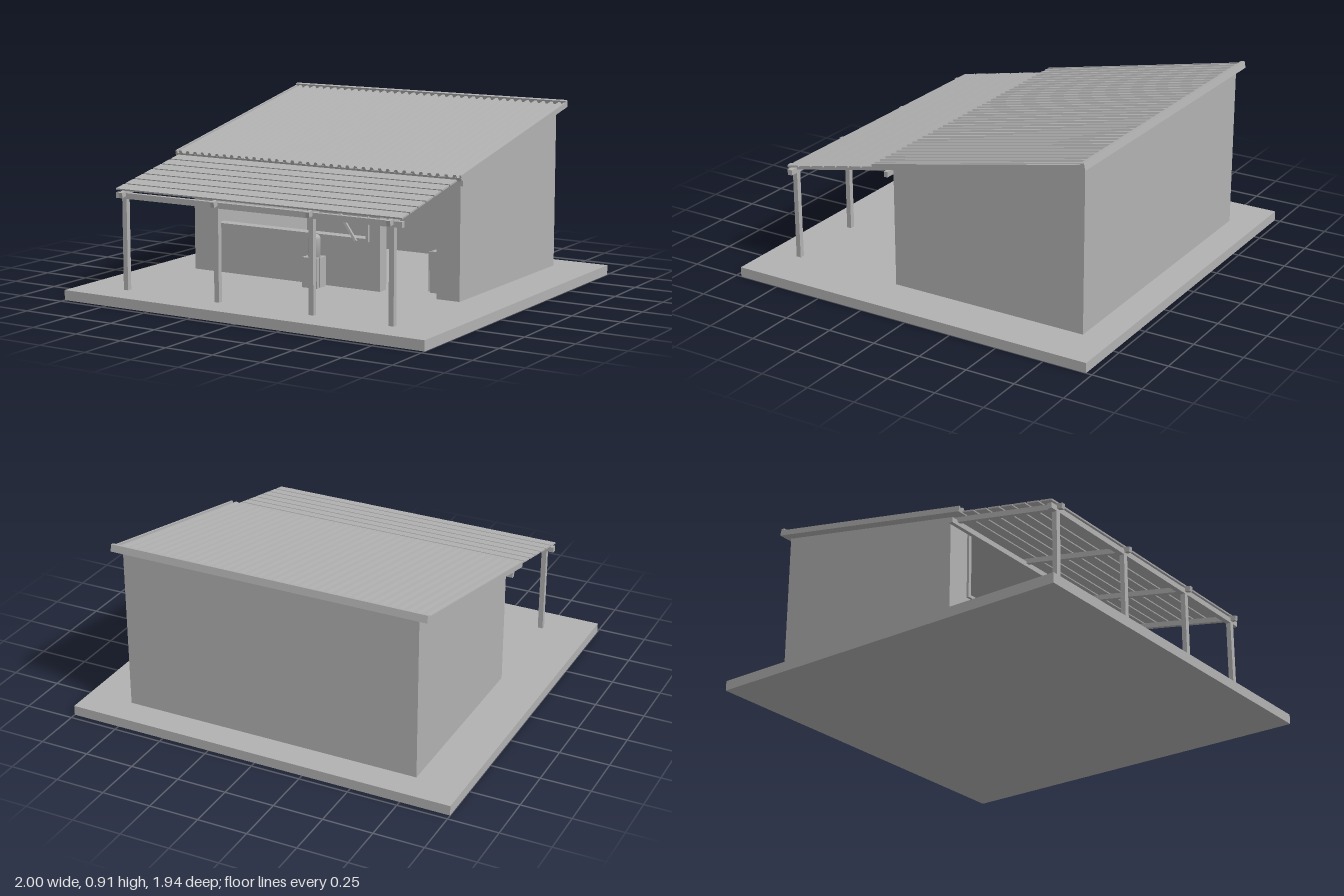
import * as THREE from 'three';

export function createModel() {
  const model = new THREE.Group();
  const grey = new THREE.MeshStandardMaterial({ color: 0xb2b2b2 });
  grey.name = 'plain grey';

  function add(name, geometry, parent = model) {
    const mesh = new THREE.Mesh(geometry, grey);
    mesh.name = name;
    parent.add(mesh);
    return mesh;
  }
  // Box given by its limits on each axis
  function box(name, x0, x1, y0, y1, z0, z1, parent = model) {
    const mesh = add(name, new THREE.BoxGeometry(x1 - x0, y1 - y0, z1 - z0), parent);
    mesh.position.set((x0 + x1) / 2, (y0 + y1) / 2, (z0 + z1) / 2);
    return mesh;
  }
  const polygon = (points) => new THREE.Shape(points.map(([x, y]) => new THREE.Vector2(x, y)));
  const rectangle = (x0, x1, y0, y1) => polygon([[x0, y0], [x1, y0], [x1, y1], [x0, y1]]);
  const extrude = (shape, depth) => new THREE.ExtrudeGeometry(shape, { depth, bevelEnabled: false });

  // Ground slab
  box('baseSlab', -1, 1, 0, 0.05, -0.97, 0.97);

  // House walls: sloping sides, tall back, front with door and window openings
  const floor = 0.05, halfWidth = 0.765, wallFront = 0.21, wallBack = -0.82, thick = 0.06;
  const side = polygon([[-wallFront, floor], [-wallBack, floor], [-wallBack, 0.875], [-wallFront, 0.664]]);
  for (const s of [1, -1]) {
    const wall = add(s > 0 ? 'leftWall' : 'rightWall', extrude(side, thick));
    wall.rotation.y = Math.PI / 2; // profile x becomes -z, depth becomes +x
    wall.position.x = s > 0 ? halfWidth - thick : -halfWidth;
  }
  box('backWall', -halfWidth + thick, halfWidth - thick, floor, 0.86, wallBack, wallBack + thick);

  const inner = halfWidth - thick;
  const front = polygon([
    [-inner, floor], [0.33, floor], [0.33, 0.58], [0.64, 0.58], [0.64, floor],
    [inner, floor], [inner, 0.66], [-inner, 0.66],
  ]);
  front.holes.push(rectangle(-0.625, 0.255, 0.303, 0.625));
  add('frontWall', extrude(front, thick)).position.z = wallFront - thick;

  // Window frame and the slanting prop in front of it
  const frame = rectangle(-0.64, 0.27, 0.29, 0.64);
  frame.holes.push(rectangle(-0.622, 0.255, 0.305, 0.625));
  add('windowFrame', extrude(frame, 0.012)).position.z = wallFront;
  const propFoot = new THREE.Vector3(0.21, 0.292, 0.238);
  const propHead = new THREE.Vector3(-0.005, 0.64, 0.278);
  const prop = add('windowProp', new THREE.BoxGeometry(0.016, 0.012, propFoot.distanceTo(propHead)));
  prop.position.copy(propFoot).lerp(propHead, 0.5);
  prop.lookAt(propHead);

  // Low cabinet just inside the doorway
  box('cabinet', 0.545, 0.7, floor, 0.253, -0.05, 0.1);
  box('cabinetDoor', 0.536, 0.543, floor + 0.006, 0.25, -0.05, 0.1);

  // Ribbed metal roof, local z running down the slope from the back edge
  const pitch = Math.atan(0.2035);
  const roof = new THREE.Group();
  roof.name = 'roof';
  roof.position.set(0, 0.9, -0.835);
  roof.rotation.x = pitch;
  model.add(roof);
  const roofLength = 1.135 / Math.cos(pitch), half = 0.805, ribs = 36;
  const step = (half * 2) / ribs;
  const outline = [[-half, -0.028], [half, -0.028]];
  for (let i = ribs - 1; i >= 0; i--) {
    const x = -half + i * step;
    outline.push([x + step, -0.012], [x + step * 0.72, -0.012], [x + step * 0.6, 0],
      [x + step * 0.3, 0], [x + step * 0.18, -0.012]);
  }
  outline.push([-half, -0.012]);
  add('ribbedSheet', extrude(polygon(outline), roofLength), roof);
  for (const s of [1, -1]) {
    const x = s * 0.81;
    box('roofSideTrim', x - 0.005, x + 0.005, -0.028, 0, 0, roofLength, roof);
  }
  box('roofBackCap', -0.815, 0.815, -0.028, 0.008, -0.008, 0.012, roof);
  box('roofFrontTrim', -0.815, 0.815, -0.028, -0.012, roofLength - 0.006, roofLength + 0.002, roof);

  // Porch canopy: rafters with boards laid across, sloping away from the house
  const porchPitch = Math.atan(0.2), run = 1 / Math.cos(porchPitch);
  const canopy = new THREE.Group();
  canopy.name = 'porchCanopy';
  canopy.position.set(0, 0.668, wallFront);
  canopy.rotation.x = porchPitch;
  model.add(canopy);
  const postXs = [-0.745, -0.208, 0.318, 0.742];
  for (const x of postXs) {
    box('rafter', x - 0.01, x + 0.01, -0.034, -0.008, 0, 0.638 * run, canopy);
  }
  for (let i = 0; i < 7; i++) {
    const z = (0.095 + i * 0.0745) * run;
    box('canopyBoard', -0.795, 0.795, -0.008, 0, z, z + 0.066, canopy);
  }

  // Porch posts and the beams carrying the rafters
  for (const x of postXs) box('porchPost', x - 0.013, x + 0.013, floor, 0.505, 0.79, 0.815);
  box('frontBeam', -0.795, 0.795, 0.5, 0.528, 0.79, 0.815);
  box('wallBeam', -0.795, 0.795, 0.61, 0.637, 0.224, 0.244);

  // Stand with a domed drinks urn, tap and hanging cloth
  box('stand', -0.053, 0.033, floor, 0.2, 0.225, 0.312);
  box('hangingCloth', 0.035, 0.042, 0.055, 0.203, 0.245, 0.295);
  const urnProfile = [[0, 0], [0.031, 0], [0.031, 0.09], [0.027, 0.102], [0.017, 0.11], [0, 0.112]]
    .map(([r, y]) => new THREE.Vector2(r, y));
  const urn = add('urn', new THREE.LatheGeometry(urnProfile, 24));
  urn.position.set(-0.008, 0.2, 0.268);
  const knob = add('urnKnob', new THREE.CylinderGeometry(0.007, 0.007, 0.01, 12));
  knob.position.set(-0.008, 0.315, 0.268);
  box('urnTap', -0.012, -0.004, 0.215, 0.223, 0.295, 0.318);

  return model;
}
